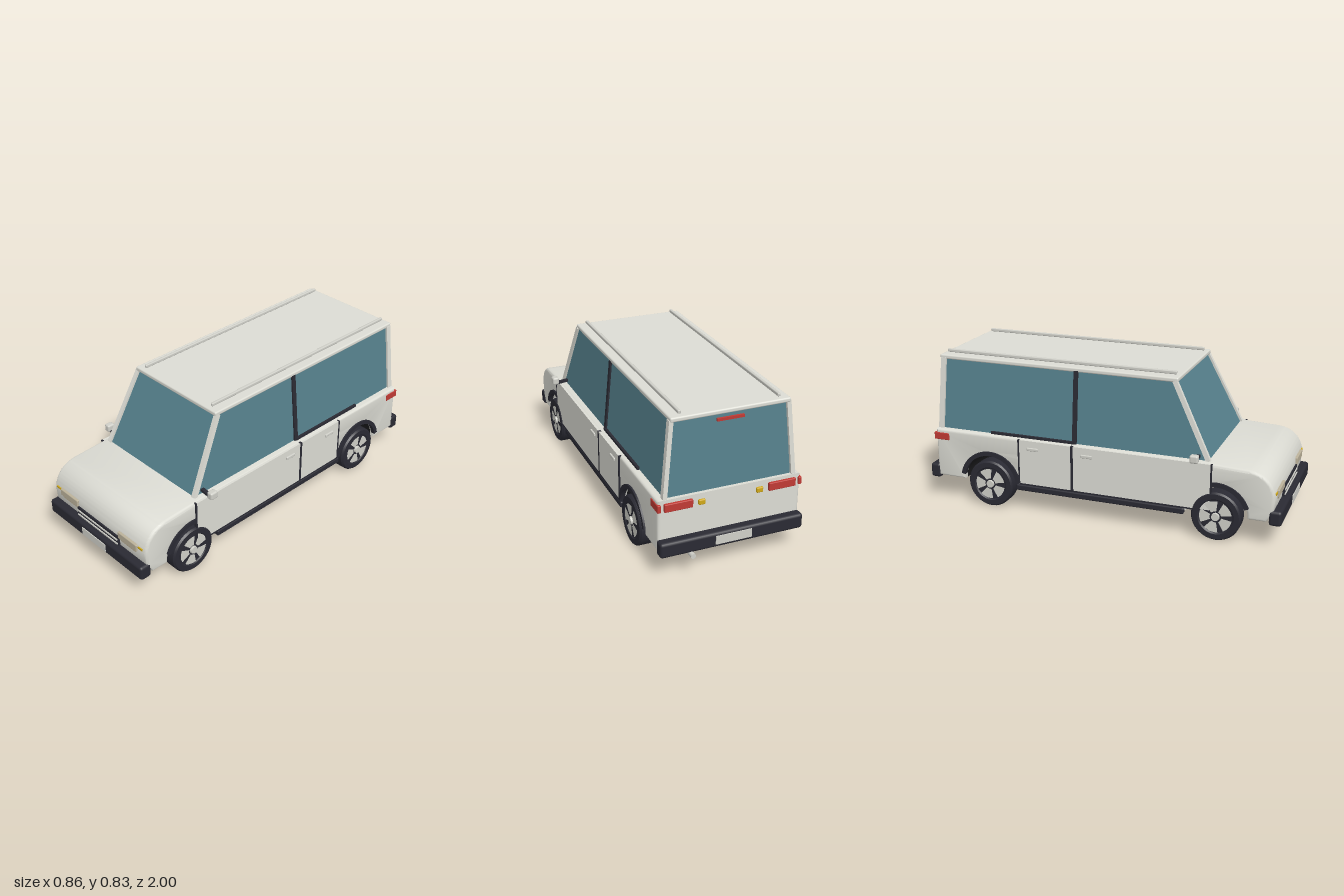
import * as THREE from 'three';
import { toCreasedNormals } from 'three/addons/utils/BufferGeometryUtils.js';
import { RoundedBoxGeometry } from 'three/addons/geometries/RoundedBoxGeometry.js';

const mat = (name, color, side = THREE.FrontSide) => {
  const m = new THREE.MeshStandardMaterial({ color, side });
  m.name = name;
  return m;
};

export function createModel() {
  const car = new THREE.Group();
  car.name = 'car';
  const paint = mat('body paint', 0xdcdcd4);
  const glass = mat('window glass', 0x56818d);
  const dark = mat('dark trim', 0x2a2a33);
  const liner = mat('wheel well black', 0x1c1c1e, THREE.DoubleSide);
  const silver = mat('light metal', 0xcfcfc8);
  const lamp = mat('headlamp lens', 0xbcb29a);
  const amber = mat('amber lens', 0xd0a818);
  const red = mat('red lens', 0xc03a34);

  const add = (name, geo, m, x = 0, y = 0, z = 0, parent = car) => {
    const mesh = new THREE.Mesh(geo, m);
    mesh.name = name;
    mesh.position.set(x, y, z);
    parent.add(mesh);
    return mesh;
  };
  const box = (name, m, w, h, d, x, y, z) => add(name, new THREE.BoxGeometry(w, h, d), m, x, y, z);
  const soft = (name, m, w, h, d, r, x, y, z) => add(name, new RoundedBoxGeometry(w, h, d, 2, r), m, x, y, z);
  // Square bar between two points
  const beam = (name, m, a, b, w, d) => {
    const p = new THREE.Vector3(...a), q = new THREE.Vector3(...b);
    const mesh = box(name, m, w, p.distanceTo(q), d, 0, 0, 0);
    mesh.position.copy(p).add(q).multiplyScalar(0.5);
    mesh.quaternion.setFromUnitVectors(new THREE.Vector3(0, 1, 0), q.sub(p).normalize());
    return mesh;
  };
  // Side profile (z, y) extruded across x, centred
  const across = (shape, width, bevel) => {
    const g = new THREE.ExtrudeGeometry(shape, {
      depth: width - 2 * bevel, curveSegments: 20, bevelEnabled: bevel > 0,
      bevelSize: bevel, bevelThickness: bevel, bevelOffset: -bevel, bevelSegments: 3,
    });
    g.translate(0, 0, -(width - 2 * bevel) / 2);
    g.rotateY(-Math.PI / 2);
    return toCreasedNormals(g, 0.6);
  };

  const FRONT = 0.66, REAR = -0.605, AXLE = 0.13;

  // Lower body with open wheel tunnels
  const body = new THREE.Shape();
  body.moveTo(-0.93, 0.135);
  body.lineTo(REAR - 0.16, 0.135);
  body.absarc(REAR, 0.135, 0.16, Math.PI, 0, true);
  body.lineTo(FRONT - 0.16, 0.135);
  body.absarc(FRONT, 0.135, 0.16, Math.PI, 0, true);
  body.lineTo(0.915, 0.135);
  body.lineTo(0.95, 0.19);
  body.lineTo(0.955, 0.27);
  body.bezierCurveTo(0.945, 0.34, 0.9, 0.39, 0.82, 0.397);
  body.lineTo(0.62, 0.407);
  body.lineTo(-0.93, 0.407);
  add('lowerBody', across(body, 0.75, 0.015), paint);

  // Rear wheel tunnel lining
  const well = new THREE.CylinderGeometry(0.158, 0.158, 0.7, 24, 1, true, 0, Math.PI);
  well.rotateZ(Math.PI / 2);
  well.rotateX(-Math.PI / 2);
  // Keep the half shell above the axle
  well.computeBoundingBox();
  if (well.boundingBox.max.y < 0.1) well.rotateX(Math.PI);
  else if (well.boundingBox.min.y < -0.1) well.rotateX(well.boundingBox.max.z > 0.1 ? -Math.PI / 2 : Math.PI / 2);
  add('rearWheelTunnel', well, liner, 0, 0.136, REAR);

  // Cabin glass: tapered block, corners as [half width, y, z]
  const yb = 0.405, yt = 0.795, wb = 0.337, wt = 0.3;
  const zf = 0.605, zft = 0.41, zr = -0.912, zrt = -0.895;
  const cabin = new THREE.BoxGeometry(2, 2, 2);
  const p = cabin.attributes.position;
  for (let i = 0; i < p.count; i++) {
    const top = p.getY(i) > 0, front = p.getZ(i) > 0;
    p.setXYZ(i, Math.sign(p.getX(i)) * (top ? wt : wb), top ? yt : yb,
      front ? (top ? zft : zf) : (top ? zrt : zr));
  }
  cabin.computeVertexNormals();
  add('cabinGlass', cabin, glass);

  // Roof
  soft('roof', paint, 0.615, 0.024, 1.345, 0.008, 0, 0.8, -0.245);

  // Front: bumper, plate, grille
  soft('frontBumper', dark, 0.756, 0.08, 0.065, 0.015, 0, 0.16, 0.96);
  box('frontPlate', silver, 0.19, 0.045, 0.008, 0, 0.158, 0.993);
  box('grille', dark, 0.335, 0.06, 0.03, 0, 0.225, 0.948);
  for (const y of [0.211, 0.236]) box('grilleBar', silver, 0.325, 0.008, 0.008, 0, y, 0.964);

  // Back: bumper, plate, high brake lamp, exhaust
  soft('rearBumper', dark, 0.756, 0.08, 0.06, 0.015, 0, 0.16, -0.947);
  box('rearPlate', silver, 0.19, 0.045, 0.008, 0, 0.162, -0.978);
  box('highBrakeLamp', red, 0.14, 0.014, 0.012, 0, 0.757, -0.902);
  const pipe = new THREE.CylinderGeometry(0.013, 0.013, 0.16, 14);
  pipe.rotateX(Math.PI / 2);
  add('exhaustPipe', pipe, silver, 0.22, 0.115, -0.92);

  // Tyre cross-section (radius, offset) and arch trim outlines
  const tyre = [[0.001, -0.035], [0.085, -0.035], [0.095, -0.043], [0.122, -0.043], [0.13, -0.033],
    [0.13, 0.033], [0.122, 0.043], [0.095, 0.043], [0.088, 0.037], [0.001, 0.037]]
    .map(([r, y]) => new THREE.Vector2(r, y));
  const tyreGeo = toCreasedNormals(new THREE.LatheGeometry(tyre, 32).rotateZ(-Math.PI / 2), 0.5);
  const archGeo = (z, a0, a1) => {
    const s = new THREE.Shape();
    s.absarc(z, 0.135, 0.178, a0, a1, false);
    s.absarc(z, 0.135, 0.155, a1, a0, true);
    return across(s, 0.025, 0);
  };

  for (const s of [1, -1]) {
    // Pillars and window frames
    beam('frontPillar', paint, [s * wb, yb, zf], [s * wt, yt, zft], 0.022, 0.024);
    beam('rearPillar', paint, [s * wb, yb, zr], [s * wt, yt, zrt], 0.022, 0.03);
    beam('middlePillar', dark, [s * (wb + 0.002), yb, -0.123], [s * (wt + 0.002), yt, -0.123], 0.014, 0.024);
    box('beltMoulding', dark, 0.014, 0.014, 0.485, s * 0.343, 0.413, -0.365);
    soft('roofRail', silver, 0.016, 0.018, 1.3, 0.005, s * 0.254, 0.825, -0.245);

    // Doors with dark gaps, handles and sill
    box('frontDoor', paint, 0.014, 0.25, 0.745, s * 0.374, 0.28, 0.2555);
    box('rearDoor', paint, 0.014, 0.25, 0.3, s * 0.374, 0.28, -0.278);
    for (const [z, w] of [[0.63, 0.008], [-0.123, 0.014], [-0.43, 0.009]])
      box('doorGap', dark, 0.016, 0.252, w, s * 0.3745, 0.28, z);
    box('doorLowerGap', dark, 0.016, 0.008, 1.06, s * 0.3745, 0.155, 0.1);
    for (const z of [-0.04, -0.347]) {
      soft('doorHandle', silver, 0.014, 0.017, 0.064, 0.004, s * 0.382, 0.36, z);
    }
    soft('sill', dark, 0.035, 0.034, 0.94, 0.008, s * 0.365, 0.132, 0.02);

    // Wheel arch trims
    add('frontArchTrim', archGeo(FRONT, 0.35, 1.74), dark, s * 0.372);
    add('rearArchTrim', archGeo(REAR, 0.12, Math.PI - 0.2), dark, s * 0.372);

    // Mirrors
    beam('mirrorArm', dark, [s * 0.335, 0.428, 0.55], [s * 0.4, 0.42, 0.55], 0.014, 0.02);
    soft('mirror', silver, 0.036, 0.042, 0.045, 0.01, s * 0.411, 0.437, 0.55);

    // Lamps
    soft('headlamp', lamp, 0.146, 0.04, 0.04, 0.005, s * 0.239, 0.271, 0.944);
    box('headlampBase', lamp, 0.115, 0.012, 0.012, s * 0.239, 0.244, 0.951);
    box('frontIndicator', amber, 0.032, 0.01, 0.012, s * 0.335, 0.281, 0.952);
    soft('tailLamp', red, 0.145, 0.042, 0.022, 0.004, s * 0.272, 0.368, -0.933);
    soft('sideTailLamp', red, 0.018, 0.04, 0.09, 0.004, s * 0.37, 0.368, -0.895);
    soft('rearIndicator', amber, 0.036, 0.028, 0.016, 0.006, s * 0.152, 0.362, -0.933);

    // Wheels with five-spoke faces
    for (const z of [FRONT, REAR]) {
      const wheel = new THREE.Group();
      wheel.name = z > 0 ? 'frontWheel' : 'rearWheel';
      wheel.position.set(s * 0.343, AXLE, z);
      wheel.rotation.y = s > 0 ? 0 : Math.PI;
      car.add(wheel);
      add('tyre', tyreGeo, dark, 0, 0, 0, wheel);
      for (let i = 0; i < 5; i++) {
        const seg = new THREE.RingGeometry(0.03, 0.085, 8, 1, i * Math.PI * 0.4 + 0.2, 0.9);
        add('rimPanel', seg.rotateY(Math.PI / 2), silver, 0.041, 0, 0, wheel);
      }
      const hub = new THREE.CylinderGeometry(0.02, 0.022, 0.014, 16);
      add('hubCap', hub.rotateZ(-Math.PI / 2), silver, 0.042, 0, 0, wheel);
    }
  }
  return car;
}
